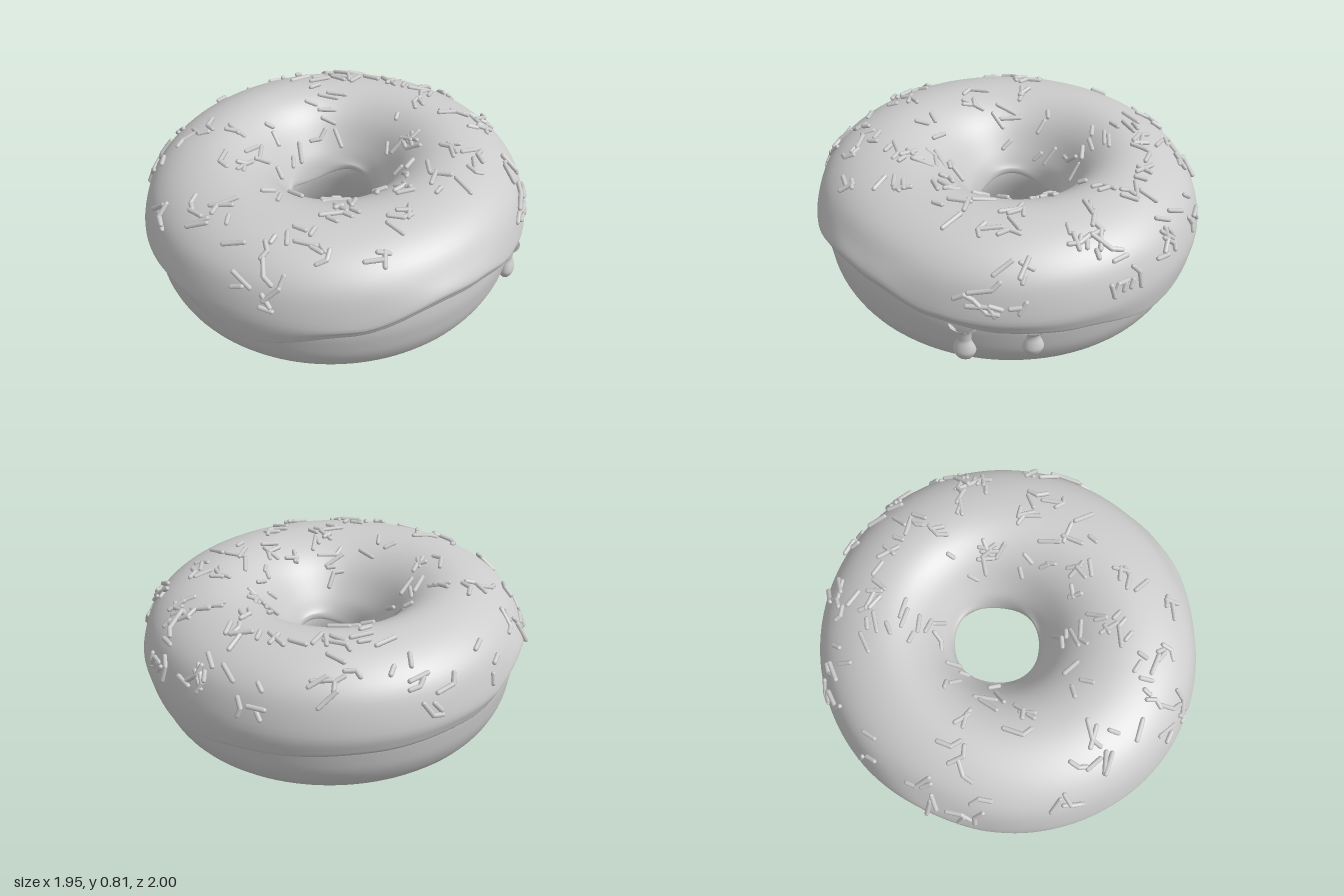
import * as THREE from 'three';
import { mergeGeometries } from 'three/addons/utils/BufferGeometryUtils.js';

const V3 = THREE.Vector3;
const TAU = Math.PI * 2;

// Small seeded generator
function seeded(seed) {
  return () => {
    seed = (seed * 1664525 + 1013904223) % 4294967296;
    return seed / 4294967296;
  };
}

// The ring is slightly oval and its hole sits off centre
function shift(r) {
  const k = THREE.MathUtils.smoothstep(r, 0.22, 0.85);
  return { x: THREE.MathUtils.lerp(-0.035, 0.01, k), z: THREE.MathUtils.lerp(-0.035, 0, k) };
}
function warp(r, y, a) {
  const s = shift(r);
  return new V3(0.982 * r * Math.cos(a) + s.x, y, 1.008 * r * Math.sin(a) + s.z);
}

// Skin a ring of profiles; section(angle) lists (radius, height) points
function ringGeometry(section, steps, closed) {
  const pos = [], index = [];
  let n = 0;
  for (let i = 0; i < steps; i++) {
    const a = (i / steps) * TAU;
    const pts = section(a);
    n = pts.length;
    for (const p of pts) pos.push(...warp(p.x, p.y, a).toArray());
  }
  for (let i = 0; i < steps; i++) {
    for (let j = 0; j < (closed ? n : n - 1); j++) {
      const i2 = (i + 1) % steps, j2 = (j + 1) % n;
      const a = i * n + j, b = i * n + j2, c = i2 * n + j, d = i2 * n + j2;
      index.push(a, b, c, b, d, c);
    }
  }
  const g = new THREE.BufferGeometry();
  g.setAttribute('position', new THREE.Float32BufferAttribute(pos, 3));
  g.setIndex(index);
  g.computeVertexNormals();
  return g;
}

// Wavy outer hem of the icing: angle in degrees (0 = +x, 90 = +z), height
const HEM = [[0, 0.465], [12, 0.475], [40, 0.39], [70, 0.3], [98, 0.4], [122, 0.35], [154, 0.465],
  [185, 0.37], [215, 0.35], [250, 0.33], [275, 0.29], [300, 0.355], [322, 0.37], [342, 0.405], [360, 0.465]];
function hemHeight(a) {
  const d = (((a / TAU) * 360) % 360 + 360) % 360;
  let i = 0;
  while (d > HEM[i + 1][0]) i++;
  const [d0, h0] = HEM[i], [d1, h1] = HEM[i + 1];
  return THREE.MathUtils.lerp(h0, h1, THREE.MathUtils.smoothstep(d, d0, d1));
}

// Icing profile from the outer lip, over the top, to the inner lip
function icingSection(a) {
  const e = hemHeight(a);
  const inner = 0.42 + 0.03 * Math.sin(3 * a + 1);
  const pts = [
    [0.92, e + 0.025], [0.945, e], [0.968, e + 0.012], [0.98, e + 0.04],
    [0.99, Math.max(0.47, e + 0.075)], [0.948, 0.61], [0.88, 0.695], [0.78, 0.755], [0.66, 0.787],
    [0.55, 0.785], [0.45, 0.75], [0.36, 0.68], [0.28, 0.57], [0.24, 0.5],
    [0.224, inner + 0.03], [0.23, inner], [0.265, inner + 0.01],
  ].map(p => new THREE.Vector2(...p));
  return new THREE.SplineCurve(pts).getPoints(64);
}

// Point and normal on the icing above a plan position
function onIcing(x, z) {
  const s = shift(Math.hypot(x, z));
  const px = (x - s.x) / 0.982, pz = (z - s.z) / 1.008;
  const a = Math.atan2(pz, px);
  const r = THREE.MathUtils.clamp(Math.hypot(px, pz), 0.27, 0.972);
  const pts = icingSection(a);
  let best = 1, gap = Infinity;
  for (let i = 1; i < pts.length - 1; i++) {
    const g = Math.abs(pts[i].x - r);
    if (pts[i].y > 0.52 && g < gap) { gap = g; best = i; }
  }
  const t = pts[best + 1].clone().sub(pts[best - 1]).normalize();
  return {
    point: warp(r, pts[best].y, a),
    normal: new V3(t.y * Math.cos(a), -t.x, t.y * Math.sin(a)).normalize(),
  };
}

// Rounded rod between two points
function rod(a, b, radius) {
  const dir = b.clone().sub(a);
  const g = new THREE.CapsuleGeometry(radius, dir.length(), 3, 8);
  g.applyQuaternion(new THREE.Quaternion().setFromUnitVectors(new V3(0, 1, 0), dir.normalize()));
  return g.translate((a.x + b.x) / 2, (a.y + b.y) / 2, (a.z + b.z) / 2);
}

// Plan positions (x, z) around which sprinkles gather
const CLUSTERS = [
  -.33, -.88, -.1, -.87, .02, -.92, .25, -.93, .3, -.85, -.1, -.72, .02, -.68, .2, -.66, .35, -.78,
  .42, -.66, -.55, -.68, -.58, -.55, -.42, -.55, -.3, -.6, .68, -.68, .77, -.6, -.8, -.38, -.88, -.3,
  -.55, -.38, -.42, -.3, -.3, -.24, .08, -.42, .2, -.33, .3, -.28, .45, -.42, .58, -.38, .6, -.15,
  .42, -.2, -.36, .0, -.48, .22, -.28, .22, -.9, .07, -.82, .42, -.65, .38, -.25, .45, .05, .42,
  .22, .2, .32, .1, .5, .02, .4, .25, .62, .2, .7, .42, .4, .4, .35, .58, .48, .6, .35, .75,
  .48, .82, .25, .88, -.1, .85, -.28, .82, -.68, .6, 0, .68, .84, -.45,
];

function sprinkleGeometry() {
  const rnd = seeded(11), parts = [];
  for (let i = 0; i < CLUSTERS.length; i += 2) {
    const count = 3 + (i % 4 === 0 ? 1 : 0);
    for (let k = 0; k < count; k++) {
      const { point, normal } = onIcing(CLUSTERS[i] + (rnd() - 0.5) * 0.15, CLUSTERS[i + 1] + (rnd() - 0.5) * 0.15);
      const along = new V3(1, 0, 0).projectOnPlane(normal).normalize().applyAxisAngle(normal, rnd() * TAU);
      const len = 0.03 + rnd() * 0.08;
      point.addScaledVector(normal, 0.006);
      const a = point.clone().addScaledVector(along, -len / 2);
      const b = point.clone().addScaledVector(along, len / 2);
      parts.push(rod(a, b, 0.012));
      // Some sprinkles are kinked
      if (rnd() < 0.25) {
        along.applyAxisAngle(normal, (rnd() < 0.5 ? -1 : 1) * (0.6 + rnd() * 0.5));
        parts.push(rod(b, b.clone().addScaledVector(along, 0.05).addScaledVector(normal, -0.004), 0.012));
      }
    }
  }
  return mergeGeometries(parts);
}

// Drop of icing with a round bulb, thin neck and flared root
function dripGeometry(height, bulb) {
  const pts = [[0, 0], [0.6, 0.14], [0.95, 0.7], [1, 1.05], [0.85, 1.55], [0.65, 2.0], [0.62, 2.35]]
    .map(([r, y]) => new THREE.Vector2(r * bulb, y * bulb));
  pts.push(new THREE.Vector2(0.75 * bulb, height - 0.025), new THREE.Vector2(1.3 * bulb, height));
  const curve = new THREE.SplineCurve(pts).getPoints(28);
  curve.forEach(p => { p.x = Math.max(0, p.x); });
  return new THREE.LatheGeometry(curve, 24);
}

export function createModel() {
  const group = new THREE.Group();
  const material = new THREE.MeshStandardMaterial({ color: 0xcccccc });
  const iced = new THREE.MeshStandardMaterial({ color: 0xcccccc, side: THREE.DoubleSide });
  const add = (name, geometry, mat = material) => {
    const m = new THREE.Mesh(geometry, mat);
    m.name = name;
    group.add(m);
    return m;
  };

  // Dough ring with a flattened base and a hole that widens downwards
  const doughPoints = [
    [0.938, 0.3], [0.945, 0.4], [0.91, 0.55], [0.78, 0.69], [0.6, 0.74], [0.42, 0.68], [0.29, 0.54],
    [0.25, 0.42], [0.285, 0.27], [0.37, 0.11], [0.48, 0.025], [0.6, 0.002], [0.74, 0.03], [0.86, 0.11], [0.918, 0.21],
  ].map(([r, y]) => new V3(r, y, 0));
  const doughProfile = new THREE.CatmullRomCurve3(doughPoints, true).getPoints(60).slice(0, -1);
  add('dough', ringGeometry(() => doughProfile, 120, true));

  // Icing
  add('icing', ringGeometry(icingSection, 180, false), iced);

  // Two drips running down the side
  for (const [deg, bottom, top, bulb] of [[-26.5, 0.185, 0.385, 0.055], [-46, 0.23, 0.385, 0.05]]) {
    const a = THREE.MathUtils.degToRad(deg);
    const drip = add('icingDrip', dripGeometry(top - bottom, bulb), iced);
    drip.position.copy(warp(0.94, bottom, a));
    drip.rotation.y = -a;
    drip.scale.x = 0.75;
  }

  // Sprinkles
  add('sprinkles', sprinkleGeometry());
  return group;
}
